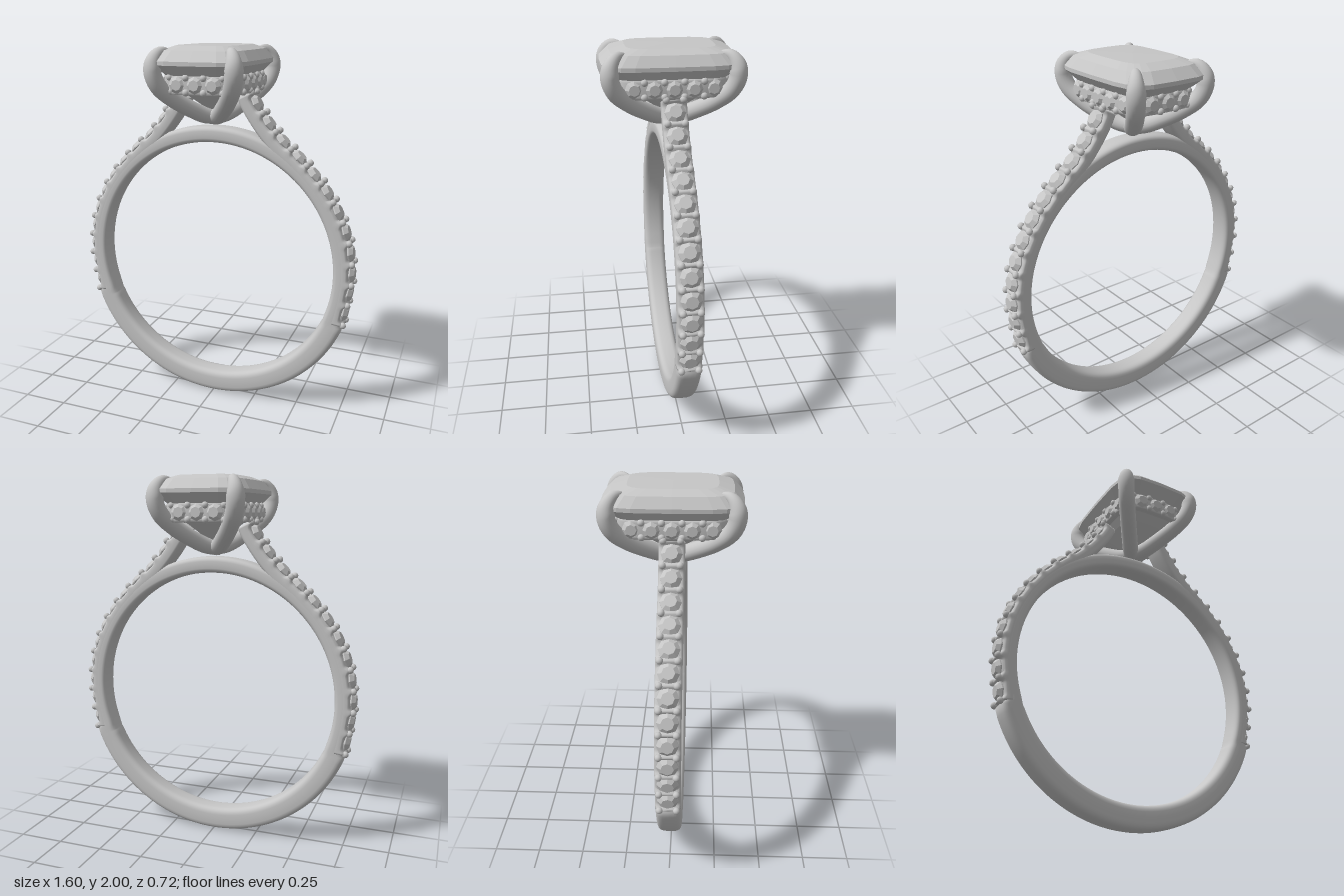
import * as THREE from 'three';

const V = (x, y, z = 0) => new THREE.Vector3(x, y, z);
const power = (v, e) => Math.sign(v) * Math.abs(v) ** (2 / e);

// Loft a superellipse section along a planar path; size(u) gives [outer, inner, half width]
function sweep(points, side, size, exponent, closed = false, sides = 20) {
  const n = points.length, pos = [], index = [];
  points.forEach((p, i) => {
    const next = points[closed ? (i + 1) % n : Math.min(i + 1, n - 1)];
    const prev = points[closed ? (i + n - 1) % n : Math.max(i - 1, 0)];
    const normal = next.clone().sub(prev).normalize().cross(side);
    const [outer, inner, width] = size(i / (closed ? n : n - 1));
    for (let j = 0; j < sides; j++) {
      const a = (j / sides) * Math.PI * 2;
      const c = power(Math.cos(a), exponent), s = power(Math.sin(a), exponent);
      const q = p.clone().addScaledVector(normal, c * (c > 0 ? outer : inner)).addScaledVector(side, s * width);
      pos.push(q.x, q.y, q.z);
    }
  });
  for (let i = 0; i < (closed ? n : n - 1); i++) {
    for (let j = 0; j < sides; j++) {
      const a = i * sides + j, b = i * sides + ((j + 1) % sides);
      const c = ((i + 1) % n) * sides + j, d = ((i + 1) % n) * sides + ((j + 1) % sides);
      index.push(a, c, b, b, c, d);
    }
  }
  // End caps
  if (!closed) {
    const last = (n - 1) * sides;
    for (let j = 1; j < sides - 1; j++) index.push(0, j, j + 1, last, last + j + 1, last + j);
  }
  const g = new THREE.BufferGeometry();
  g.setAttribute('position', new THREE.Float32BufferAttribute(pos, 3));
  g.setIndex(index);
  g.computeVertexNormals();
  return g;
}

// Faceted lathe with hard edges
function facetedLathe(profile, sides, reshape) {
  const lathe = new THREE.LatheGeometry(profile.map(([x, y]) => new THREE.Vector2(x, y)), sides);
  if (reshape) reshape(lathe.attributes.position);
  const g = lathe.toNonIndexed();
  g.computeVertexNormals();
  return g;
}

export function createModel() {
  const ring = new THREE.Group();
  ring.name = 'ring';
  const silver = new THREE.MeshStandardMaterial({ color: 0xc6c6c6 });
  silver.name = 'silver grey';
  const add = (name, geometry, parent = ring) => {
    const m = new THREE.Mesh(geometry, silver);
    m.name = name;
    parent.add(m);
    return m;
  };
  const Z = V(0, 0, 1), Y = V(0, 1, 0);

  // Band: round inside, thicker along the plain lower part
  const center = 0.81, inside = 0.68, count = 180;
  const outside = (u) => {
    const s = Math.sin(u * Math.PI * 2);
    return s < -0.35 ? 0.8 + 0.01 * ((-s - 0.35) / 0.65) : 0.768;
  };
  const bandPath = [];
  for (let i = 0; i < count; i++) {
    const a = (i / count) * Math.PI * 2, r = (inside + outside(i / count)) / 2;
    bandPath.push(V(Math.cos(a) * r, center + Math.sin(a) * r));
  }
  add('band', sweep(bandPath, Z, (u) => {
    const h = (outside(u) - inside) / 2;
    return [h, h, 0.065];
  }, 3.6, true, 28));

  // Small accent stone and the bead that holds it
  const accent = facetedLathe([[0, -0.04], [0.054, -0.006], [0.054, 0], [0.032, 0.02], [0, 0.02]], 8);
  const bead = new THREE.SphereGeometry(0.018, 10, 8);
  const setStone = (parent, p, normal, scale = 1) => {
    const m = add('accentStone', accent, parent);
    m.position.copy(p);
    m.quaternion.setFromUnitVectors(Y, normal);
    m.scale.setScalar(scale);
  };

  // Shoulders: notched strands carrying twelve stones each
  const stones = 12;
  for (const side of [1, -1]) {
    const shoulder = new THREE.Group();
    shoulder.name = side > 0 ? 'leftShoulder' : 'rightShoulder';
    ring.add(shoulder);
    const curve = new THREE.CatmullRomCurve3([
      [0.757, 0.545], [0.79, 0.83], [0.75, 1.06], [0.64, 1.27], [0.49, 1.44],
      [0.4, 1.52], [0.32, 1.61], [0.25, 1.71], [0.222, 1.765],
    ].map(([x, y]) => V(x, y)));
    const normalAt = (u) => curve.getTangentAt(u).cross(Z).normalize();
    const flip = (v) => v.setX(v.x * side);
    const path = [];
    for (let i = 0; i <= 192; i++) {
      path.push(flip(curve.getPointAt(i / 192).addScaledVector(normalAt(i / 192), -0.055)));
    }
    // Metal rises between neighbouring stones
    add('strand', sweep(path, V(0, 0, side), (u) => {
      const ridge = ((1 + Math.cos(u * stones * Math.PI * 2)) / 2) ** 5;
      return [0.03 + 0.022 * ridge, 0.04, 0.065];
    }, 4, false, 24), shoulder);
    for (let i = 0; i <= stones; i++) {
      const edge = i / stones;
      for (const z of [-0.043, 0.043]) {
        const p = flip(curve.getPointAt(edge).addScaledVector(normalAt(edge), -0.008));
        add('bead', bead, shoulder).position.set(p.x, p.y, z);
      }
      if (i === stones) break;
      const u = (i + 0.5) / stones;
      setStone(shoulder, flip(curve.getPointAt(u).addScaledVector(normalAt(u), -0.018)), flip(normalAt(u)));
    }
  }

  // Centre stone: a lathe pushed out to a cushion outline
  add('centreStone', facetedLathe([
    [0, 1.635], [0.5, 1.755], [0.8, 1.85], [1, 1.905], [1, 1.925],
    [0.86, 1.975], [0.64, 1.997], [0, 2],
  ], 24, (p) => {
    for (let i = 0; i < p.count; i++) {
      const r = Math.hypot(p.getX(i), p.getZ(i));
      if (r < 1e-6) continue;
      p.setX(i, 0.25 * r * power(p.getX(i) / r, 4.5));
      p.setZ(i, 0.352 * r * power(p.getZ(i) / r, 4.5));
    }
  }), ring);

  // Basket rail below the centre stone, with stones on all four sides
  const basket = new THREE.Group();
  basket.name = 'basket';
  ring.add(basket);
  const rx = 0.19, rz = 0.268, railY = 1.81, railPath = [];
  for (let i = 0; i < 96; i++) {
    const a = (i / 96) * Math.PI * 2;
    railPath.push(V(rx * power(Math.cos(a), 4.5), railY, rz * power(Math.sin(a), 4.5)));
  }
  add('rail', sweep(railPath, Y, () => [0.022, 0.022, 0.05], 5, true, 16), basket);
  const bow = (v, half) => (1 - Math.abs(v / half) ** 4.5) ** (1 / 4.5);
  for (const s of [1, -1]) {
    for (const x of [-0.094, 0, 0.094]) setStone(basket, V(x, railY, s * (rz * bow(x, rx) + 0.018)), V(0, 0, s), 0.84);
    for (const z of [-0.196, -0.098, 0, 0.098, 0.196]) setStone(basket, V(s * (rx * bow(z, rz) + 0.018), railY, z), V(s, 0, 0), 0.84);
    for (const y of [railY - 0.036, railY + 0.036]) {
      for (const x of [-0.141, -0.047, 0.047, 0.141]) add('bead', bead, basket).position.set(x, y, s * (rz * bow(x, rx) + 0.018));
      for (const z of [-0.147, -0.049, 0.049, 0.147]) add('bead', bead, basket).position.set(s * (rx * bow(z, rz) + 0.018), y, z);
    }
  }

  // Four claws rising diagonally from below and closing over the corners
  for (const sx of [1, -1]) {
    for (const sz of [1, -1]) {
      const d = V(sx * 0.565, 0, sz * 0.825).normalize();
      const curve = new THREE.CatmullRomCurve3([
        [-0.02, 1.625], [0.07, 1.637], [0.16, 1.675], [0.27, 1.735], [0.35, 1.8],
        [0.381, 1.87], [0.37, 1.93], [0.335, 1.967], [0.275, 1.975],
      ].map(([r, y]) => d.clone().multiplyScalar(r).setY(y)));
      const claw = sweep(curve.getSpacedPoints(48), V(-d.z, 0, d.x), (u) => {
        const r = u > 0.76 ? 0.046 * Math.sqrt(Math.max(0, (1 - u) / 0.24)) ** 1.3 + 0.002 : 0.046;
        return [Math.min(r, 0.042), r, r];
      }, 2, false, 20);
      add('claw', claw);
    }
  }
  return ring;
}
